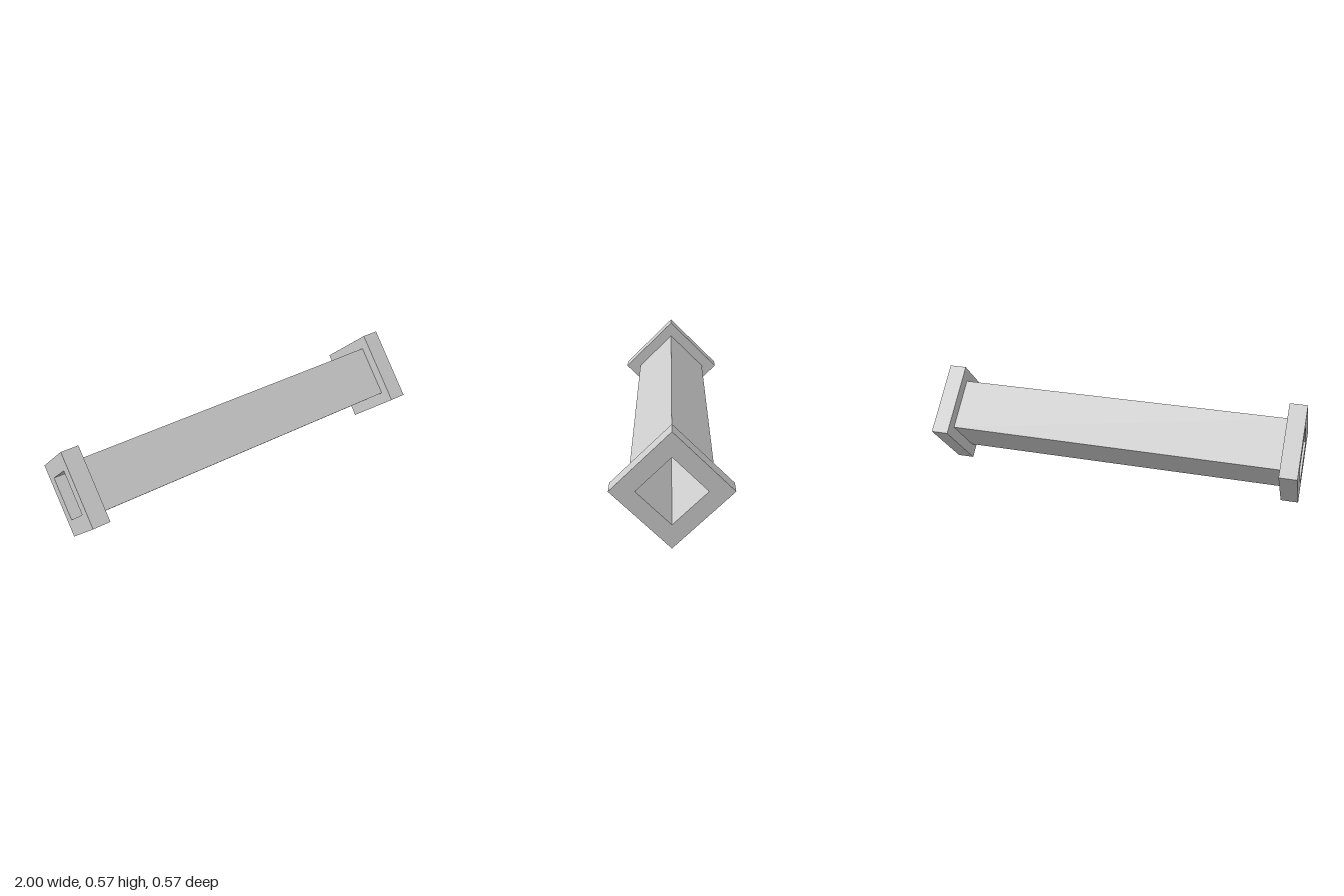
import * as THREE from 'three';

const OUTER = 0.285, TUBE = 0.2, BORE = 0.165; // corner radii of the square sections
const END = 1, NECK = 0.907;                   // end face and inner face of each flange

const material = new THREE.MeshStandardMaterial({ color: 0xcccccc, flatShading: true });

// Four-sided sweep of [radius, position] points around the x axis, corners up and down
function squareSweep(name, profile) {
  const points = profile.map(([r, a]) => new THREE.Vector2(r, a));
  const geometry = new THREE.LatheGeometry(points, 4).rotateZ(-Math.PI / 2).toNonIndexed();
  geometry.computeVertexNormals();
  const mesh = new THREE.Mesh(geometry, material);
  mesh.name = name;
  mesh.position.y = OUTER;
  return mesh;
}

export function createModel() {
  const group = new THREE.Group();
  group.name = 'flangedSquareTube';

  // Long hollow tube: outside walls and bore
  group.add(squareSweep('tubeOuterWall', [[TUBE, -NECK], [TUBE, NECK]]));
  group.add(squareSweep('tubeBore', [[BORE, NECK], [BORE, -NECK]]));

  // Matching square collar at each end
  for (const side of [1, -1]) {
    const flange = squareSweep(side > 0 ? 'leftFlange' : 'rightFlange', [
      [TUBE, NECK], [OUTER, NECK], [OUTER, END], [BORE, END], [BORE, NECK],
    ]);
    if (side < 0) flange.rotation.y = Math.PI;
    group.add(flange);
  }
  return group;
}
